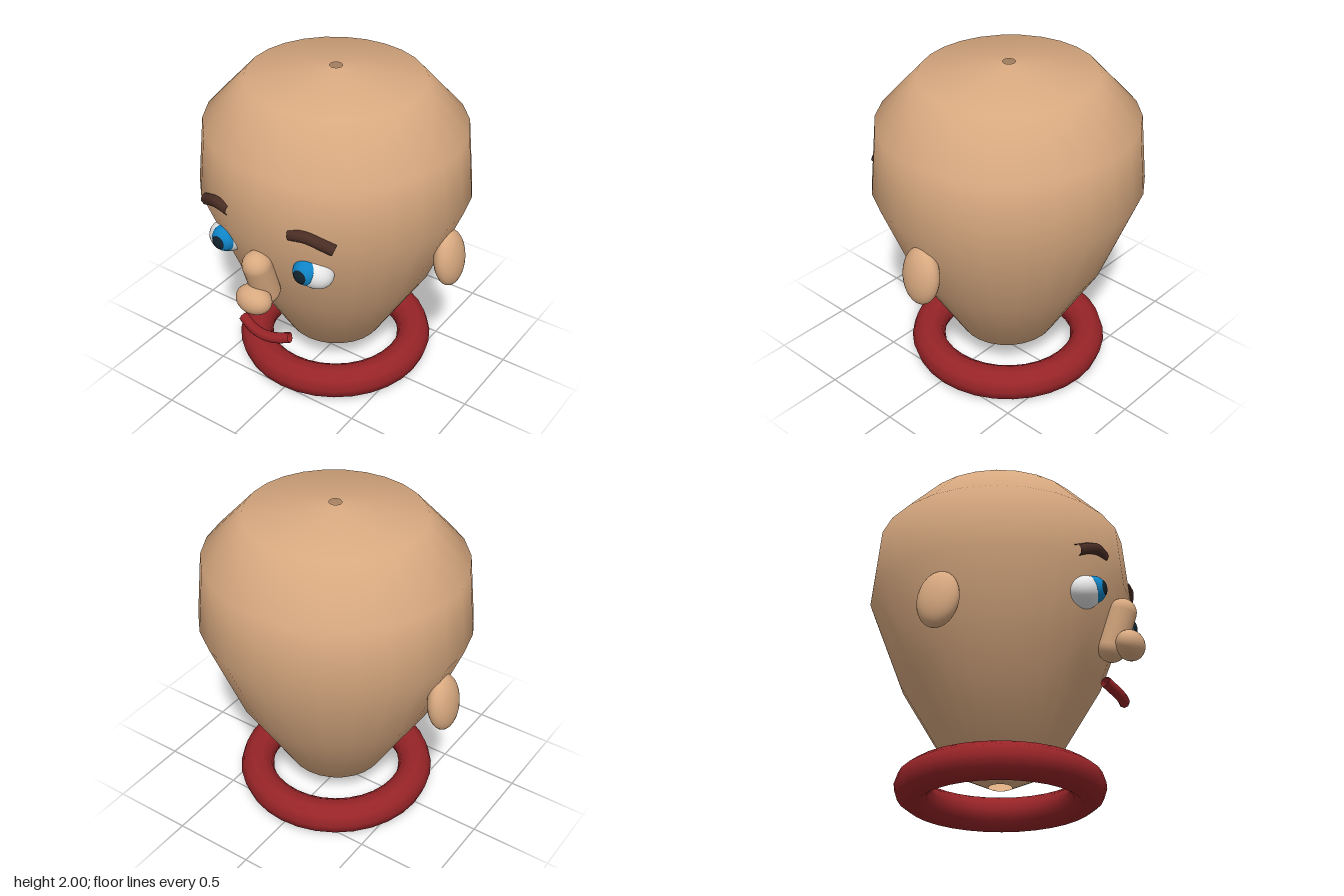
import * as THREE from 'three';

const mat = (name, color, side = THREE.FrontSide) => {
  const m = new THREE.MeshStandardMaterial({ color, side });
  m.name = name;
  return m;
};

export function createModel() {
  const model = new THREE.Group();
  model.name = 'head';
  const skin = mat('skin', 0xd8a980, THREE.DoubleSide);
  const red = mat('deep red', 0x982428, THREE.DoubleSide);
  const brown = mat('dark brown', 0x4a2e25, THREE.DoubleSide);
  const white = mat('eye white', 0xeeeeee);
  const blue = mat('iris blue', 0x0f84c6);
  const black = mat('pupil black', 0x12242f);

  const add = (name, geometry, material, position = [0, 0, 0], parent = model) => {
    const mesh = new THREE.Mesh(geometry, material);
    mesh.name = name;
    mesh.position.set(...position);
    parent.add(mesh);
    return mesh;
  };
  const ellipsoid = (rx, ry, rz) => new THREE.SphereGeometry(1, 28, 18).scale(rx, ry, rz);
  const tube = (points, radius) => new THREE.TubeGeometry(
    new THREE.CatmullRomCurve3(points.map((p) => new THREE.Vector3(...p))), 14, radius, 8);

  // Faceted outline, smooth around: open at the crown and at the neck
  const profile = [
    [0.07, 0.11], [0.305, 0.22], [0.615, 0.73], [0.82, 1.25],
    [0.78, 1.66], [0.53, 1.93], [0.037, 2.0],
  ].map(([r, y]) => new THREE.Vector2(r, y));
  add('skull', new THREE.LatheGeometry(profile, 26).scale(1, 1, 0.97), skin, [0, 0, -0.05]);

  // Collar ring
  add('collar', new THREE.TorusGeometry(0.508, 0.105, 10, 32).rotateX(Math.PI / 2), red, [0, 0.1, -0.05]);

  // Nose: leaning bridge and a wide tip
  const bridge = add('noseBridge', new THREE.CapsuleGeometry(0.086, 0.226, 8, 20), skin, [0, 0.973, 0.69]);
  bridge.rotation.x = 0.315;
  add('noseTip', ellipsoid(0.114, 0.088, 0.085), skin, [0, 0.863, 0.765]);

  // Mouth: an open curved tube
  add('mouth', tube([[-0.17, 0.588, 0.66], [-0.08, 0.563, 0.687], [0, 0.556, 0.695],
    [0.08, 0.563, 0.687], [0.17, 0.588, 0.66]], 0.032), red);

  // Paired features
  for (const [side, s] of [['left', 1], ['right', -1]]) {
    const ear = add(side + 'Ear', ellipsoid(0.078, 0.18, 0.127), skin, [s * 0.775, 0.968, -0.09]);
    ear.rotation.z = s * 0.13;

    const eye = new THREE.Group();
    eye.name = side + 'Eye';
    model.add(eye);
    const ball = add(side + 'Eyeball', ellipsoid(0.127, 0.097, 0.1), white, [s * 0.3, 1.098, 0.6], eye);
    ball.rotation.z = s * -0.35;
    const irisAt = [s * 0.286, 1.11, 0.65];
    add(side + 'Iris', ellipsoid(0.077, 0.08, 0.075), blue, irisAt, eye);
    // Pupil is a thin cap lying on the iris
    const cap = new THREE.SphereGeometry(1, 24, 6, 0, Math.PI * 2, 0, 0.56)
      .rotateX(Math.PI / 2).scale(0.079, 0.082, 0.078);
    add(side + 'Pupil', cap, black, irisAt, eye);

    add(side + 'Eyebrow', tube([[s * 0.205, 1.353, 0.69], [s * 0.305, 1.36, 0.675],
      [s * 0.445, 1.295, 0.61]], 0.036), brown);
  }
  return model;
}
